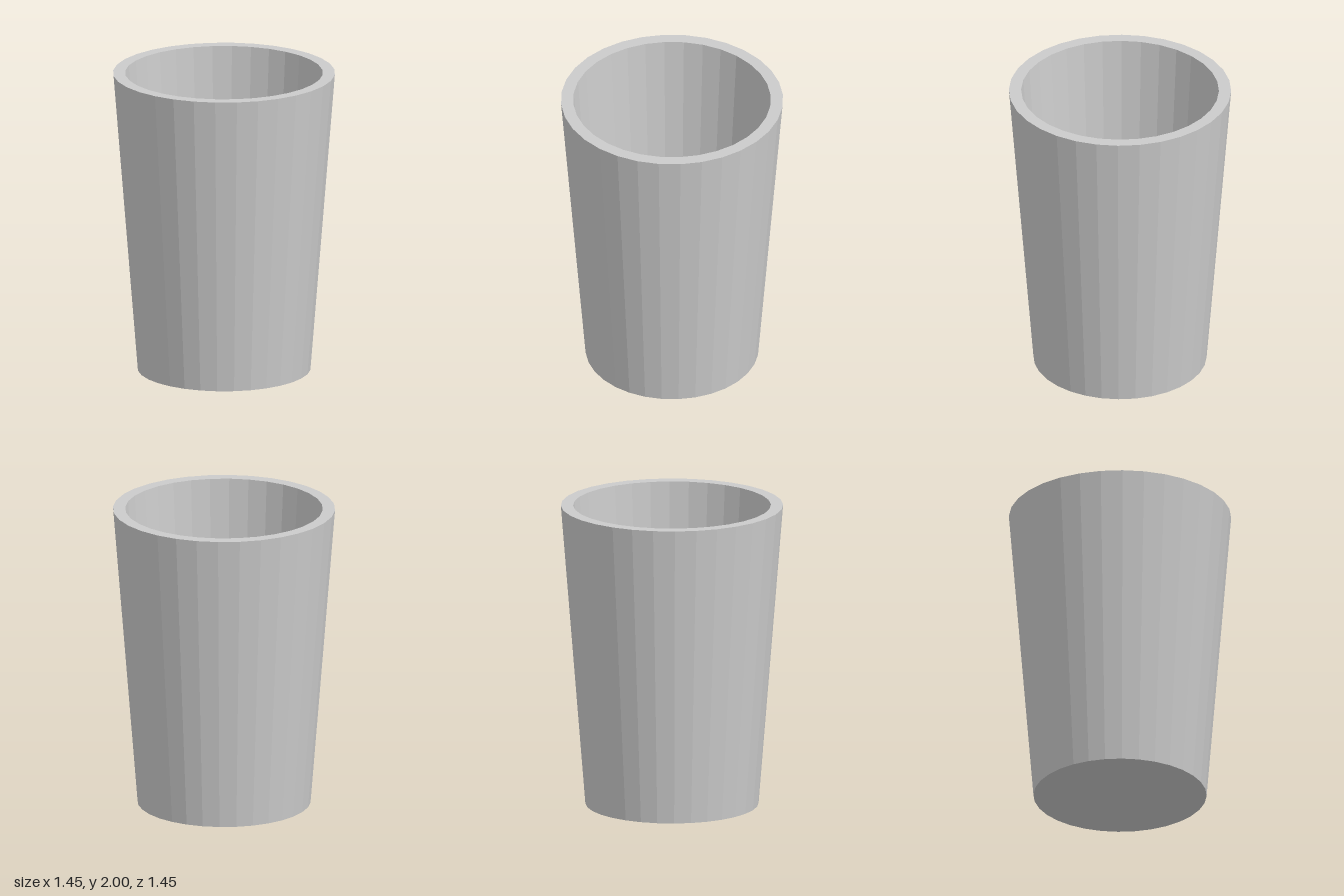
import * as THREE from 'three';

const SIDES = 32;

export function createModel() {
  const model = new THREE.Group();
  model.name = 'cup';
  const material = new THREE.MeshStandardMaterial({ color: 0xcccccc, flatShading: true });

  // Closed profile: underside, tapered outer wall, flat rim, inner wall, inner floor
  const profile = [
    [0, 0],
    [0.565, 0],
    [0.725, 2],
    [0.645, 2],
    [0.52, 0.12],
    [0, 0.12],
  ].map(([r, y]) => new THREE.Vector2(r, y));

  const cup = new THREE.Mesh(new THREE.LatheGeometry(profile, SIDES), material);
  cup.name = 'cupBody';
  model.add(cup);
  return model;
}
